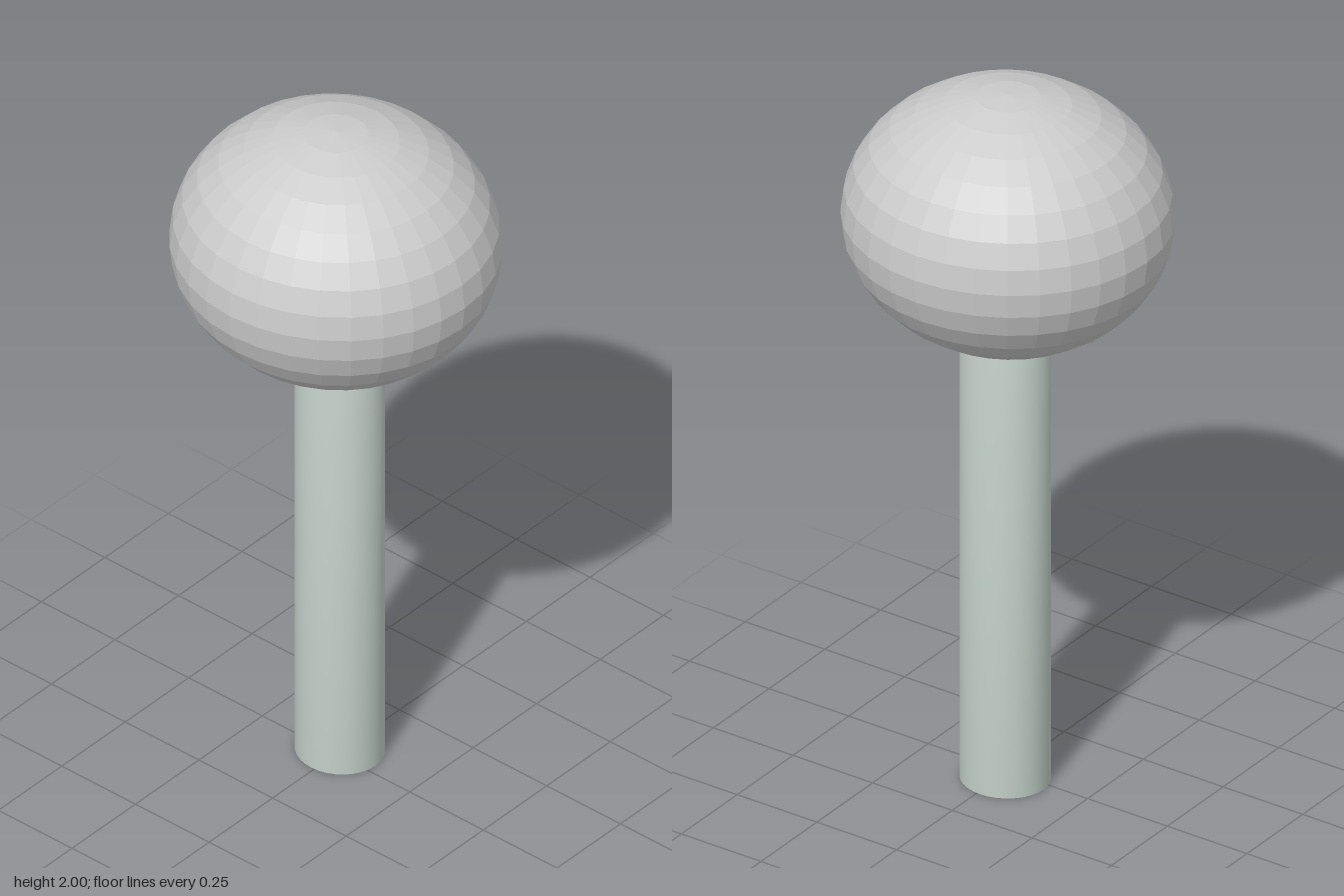
import * as THREE from 'three';
import { mergeVertices } from 'three/addons/utils/BufferGeometryUtils.js';

export function createModel() {
  const model = new THREE.Group();
  model.name = 'ballOnPost';

  // Faceted, slightly flattened ball
  const ball = new THREE.Mesh(
    new THREE.SphereGeometry(1, 32, 16).scale(0.437, 0.355, 0.42),
    new THREE.MeshStandardMaterial({ color: 0xcccccc, flatShading: true })
  );
  ball.name = 'ball';
  ball.position.y = 1.645;
  model.add(ball);

  // Slightly off-centre post, its end rims smoothed into the side
  const top = 1.34;
  let postGeometry = new THREE.CylinderGeometry(1, 1, top, 32).scale(0.12, 1, 0.113);
  postGeometry.deleteAttribute('normal');
  postGeometry.deleteAttribute('uv');
  postGeometry = mergeVertices(postGeometry);
  postGeometry.computeVertexNormals();
  const post = new THREE.Mesh(
    postGeometry,
    new THREE.MeshStandardMaterial({ color: 0xc5d3cb })
  );
  post.name = 'post';
  post.position.set(-0.01, top / 2, -0.027);
  model.add(post);

  return model;
}
